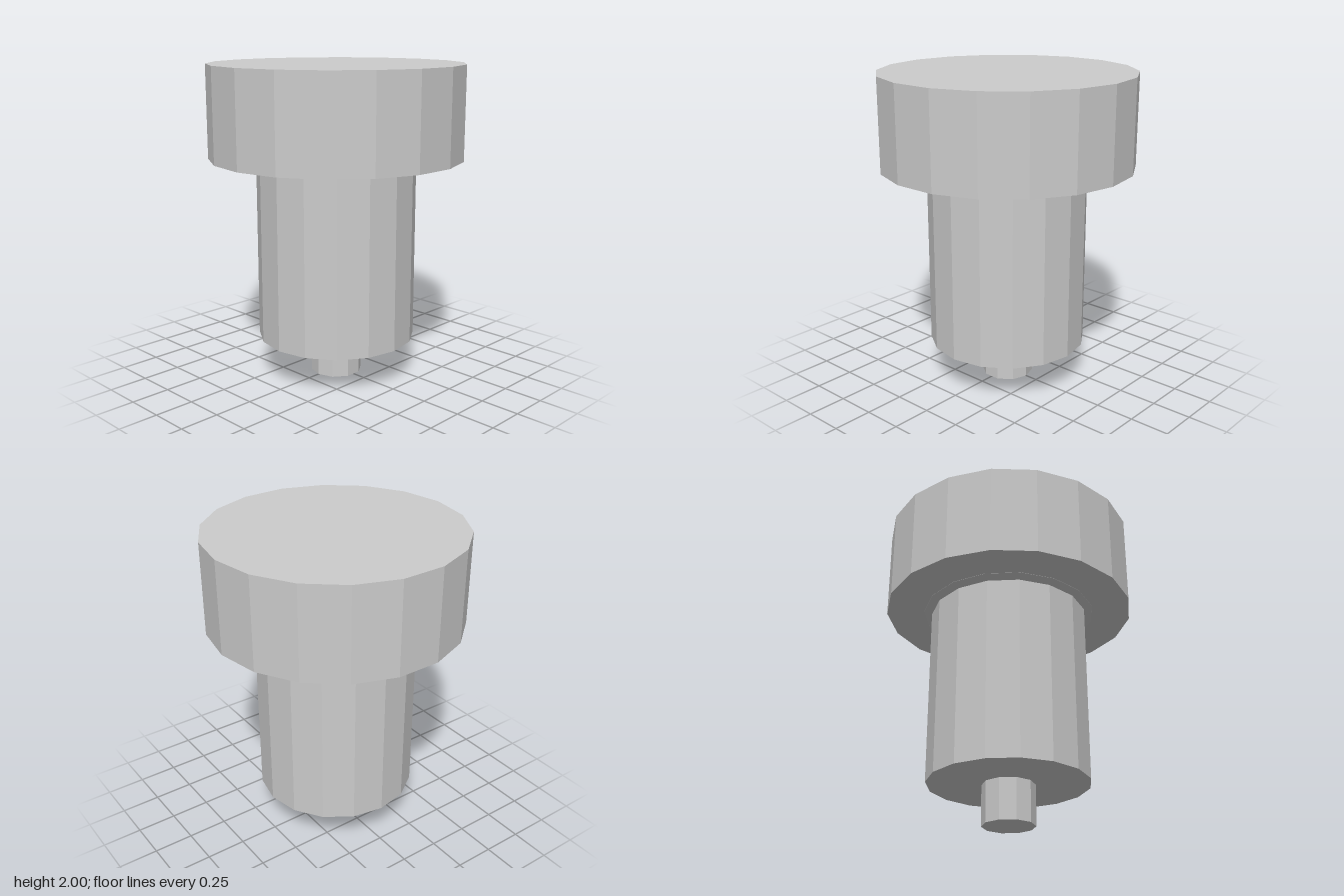
import * as THREE from 'three';

export function createModel() {
  const group = new THREE.Group();
  const material = new THREE.MeshStandardMaterial({ color: 0xcccccc, flatShading: true });

  const add = (name, geometry) => {
    const mesh = new THREE.Mesh(geometry, material);
    mesh.name = name;
    group.add(mesh);
  };

  // Upright prism with a corner on the x axis
  const prism = (name, radius, bottom, top, sides) => {
    const geometry = new THREE.CylinderGeometry(radius, radius, top - bottom, sides, 1, false, Math.PI / 2);
    add(name, geometry.translate(0, (top + bottom) / 2, 0));
  };

  prism('cap', 0.8, 1.417, 2, 18);
  prism('body', 0.505, 0.255, 1.417, 16);
  prism('pin', 0.165, 0, 0.255, 10);

  // Collar ring, mostly sunk into the cap and body
  const collar = new THREE.TorusGeometry(0.505, 0.07, 8, 16);
  add('collar', collar.rotateX(Math.PI / 2).translate(0, 1.465, 0));

  return group;
}
